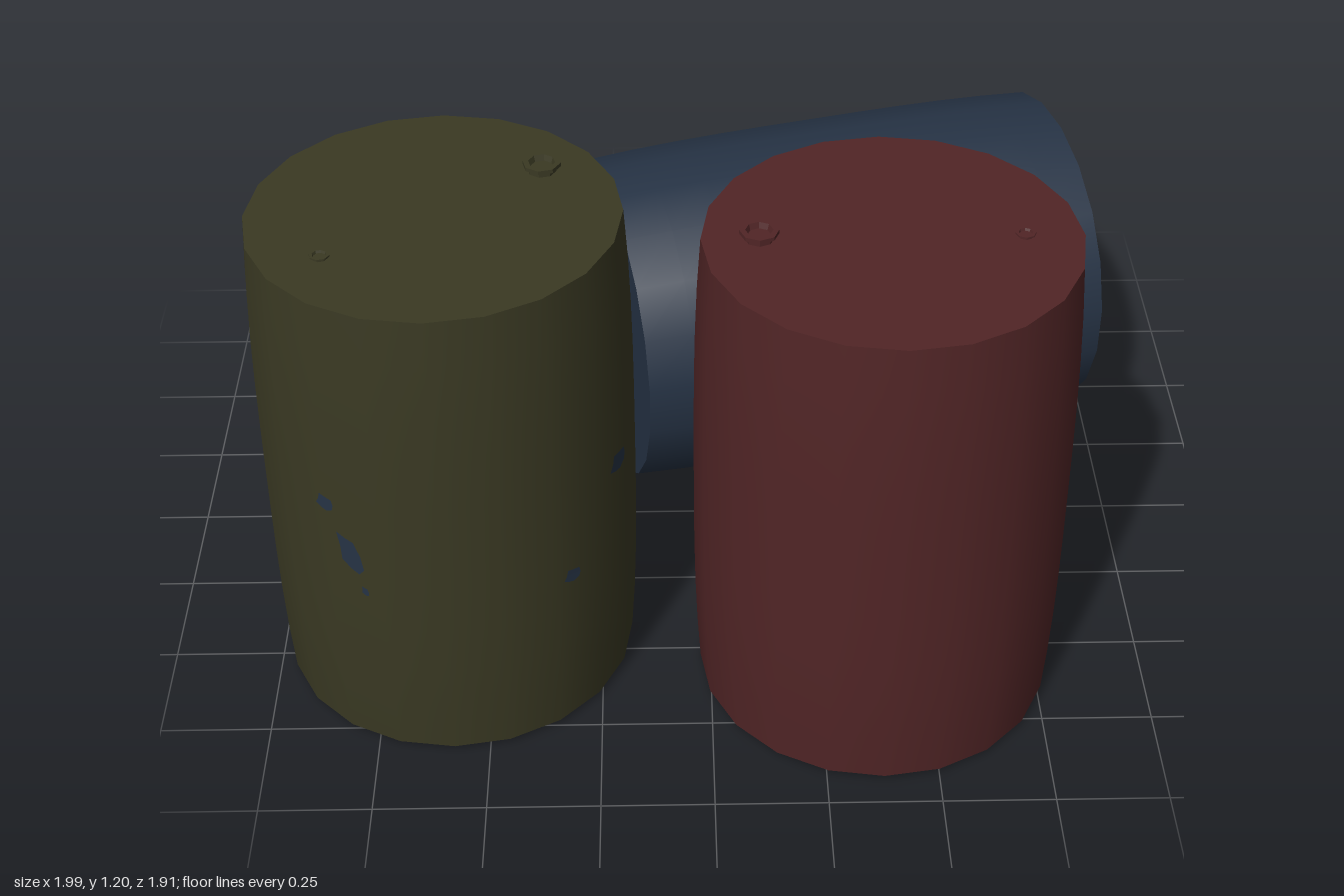
import * as THREE from 'three';

const SIDES = 20;
const HEIGHT = 1.165;
const END_R = 0.4;
const BELLY_R = 0.415;

const paint = (name, color) => {
  const m = new THREE.MeshStandardMaterial({ color });
  m.name = name;
  return m;
};

function addMesh(parent, name, geometry, material) {
  const mesh = new THREE.Mesh(geometry, material);
  mesh.name = name;
  parent.add(mesh);
  return mesh;
}

const lathe = (points, sides) =>
  new THREE.LatheGeometry(points.map(([r, y]) => new THREE.Vector2(r, y)), sides);

// Screw plug on the lid: a narrow neck, a flared rim and a sunken centre
function addPlug(parent, name, x, r, h, material) {
  const geo = lathe([
    [r * 0.75, 0], [r * 0.75, h * 0.4], [r, h * 0.6], [r, h],
    [r * 0.7, h], [r * 0.6, h * 0.4], [0, h * 0.4],
  ], 8).toNonIndexed();
  geo.computeVertexNormals();
  addMesh(parent, name, geo, material).position.set(x, HEIGHT / 2, 0);
}

// Closed drum, centred on its own middle, lid facing +y
function makeDrum(name, material, spin) {
  const drum = new THREE.Group();
  drum.name = name;
  const body = new THREE.Group();
  body.name = 'drumBody';
  body.rotation.y = spin;
  drum.add(body);

  // Slightly bellied wall
  const profile = [];
  const steps = 10;
  for (let i = 0; i <= steps; i++) {
    const t = (i / steps) * 2 - 1;
    profile.push([BELLY_R - (BELLY_R - END_R) * Math.abs(t) ** 3, (t * HEIGHT) / 2]);
  }
  addMesh(body, 'drumWall', lathe(profile, SIDES), material);

  // Flat lid and base
  for (const s of [1, -1]) {
    const disc = new THREE.CircleGeometry(END_R, SIDES).rotateX((-s * Math.PI) / 2);
    addMesh(body, s > 0 ? 'lid' : 'base', disc, material).position.y = (s * HEIGHT) / 2;
  }

  addPlug(body, 'largePlug', -0.278, 0.042, 0.022, material);
  addPlug(body, 'smallPlug', 0.275, 0.022, 0.009, material);
  return drum;
}

// Chipped paint: a small ragged patch wrapped onto the drum wall
function addChip(drum, [degrees, y, w, h, lean], material) {
  const shape = new THREE.Shape();
  for (let i = 0; i < 9; i++) {
    const a = (i / 9) * Math.PI * 2;
    const k = 1 + 0.2 * Math.sin(i * 2.7);
    const v = Math.sin(a) * h * k;
    const u = Math.cos(a) * w * k - v * lean;
    if (i) shape.lineTo(u, v);
    else shape.moveTo(u, v);
  }
  const geo = new THREE.ShapeGeometry(shape);
  const p = geo.attributes.position;
  for (let i = 0; i < p.count; i++) {
    const a = THREE.MathUtils.degToRad(degrees) + p.getX(i) / BELLY_R;
    p.setXYZ(i, Math.sin(a) * 0.417, p.getY(i) + y - 0.5975, Math.cos(a) * 0.417);
  }
  geo.computeVertexNormals();
  addMesh(drum, 'paintChip', geo, material);
}

export function createModel() {
  const model = new THREE.Group();
  model.name = 'drums';
  const green = paint('olive paint', 0x3a3923);
  const red = paint('dark red paint', 0x512526);
  const blue = paint('navy paint', 0x263345);

  // Two standing drums
  const greenDrum = makeDrum('greenDrum', green, 3.78);
  greenDrum.position.set(-0.583, 0.5975, 0.423);
  const redDrum = makeDrum('redDrum', red, 0);
  redDrum.position.set(0.377, 0.5975, 0.533);

  // Drum lying on its side
  const blueDrum = makeDrum('blueDrum', blue, 1.12);
  blueDrum.position.set(0.32, 0.415, -0.424);
  blueDrum.rotation.set(0, 0.27, -Math.PI / 2, 'YXZ');

  // Chips on the olive drum: angle, height, half width, half height, lean
  const chips = [
    [-34.5, 0.68, 0.022, 0.02, 0], [-27, 0.56, 0.025, 0.05, 0.3],
    [-23, 0.465, 0.008, 0.012, 0.2],
    [42, 0.44, 0.022, 0.018, 0], [66, 0.645, 0.035, 0.025, 0],
    [-125, 0.68, 0.02, 0.02, 0], [-110, 0.53, 0.024, 0.05, 0.3],
  ];
  for (const chip of chips) addChip(greenDrum, chip, blue);

  model.add(greenDrum, redDrum, blueDrum);
  return model;
}
